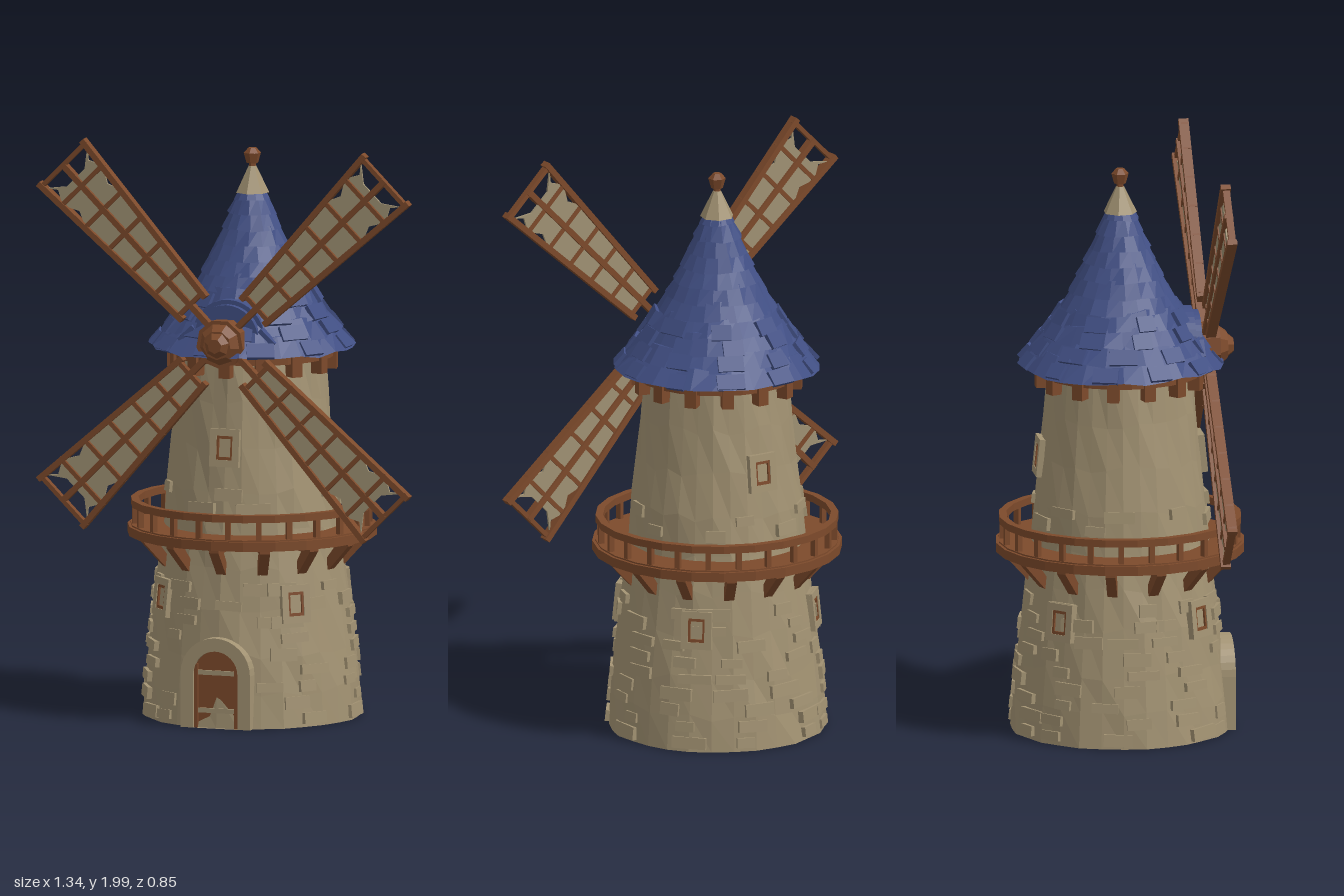
import * as THREE from 'three';
import { mergeGeometries } from 'three/addons/utils/BufferGeometryUtils.js';

const stone = new THREE.MeshStandardMaterial({ color: 0xa39373 });
stone.name = 'stone';
const wood = new THREE.MeshStandardMaterial({ color: 0x7d4a2b });
wood.name = 'wood';
const slate = new THREE.MeshStandardMaterial({ color: 0x414f84 });
slate.name = 'blue slate';
const canvas = new THREE.MeshStandardMaterial({ color: 0xa09274 });
canvas.name = 'canvas';

// Seeded random numbers
let seed = 7;
const rand = (a = 0, b = 1) => {
  seed = (seed * 16807) % 2147483647;
  return a + (b - a) * (seed / 2147483647);
};

// Merge pieces into one faceted mesh
function addMesh(parent, name, material, pieces) {
  const flat = pieces.map((g) => (g.index ? g.toNonIndexed() : g));
  const geometry = mergeGeometries(flat, false);
  geometry.clearGroups();
  geometry.computeVertexNormals();
  const mesh = new THREE.Mesh(geometry, material);
  mesh.name = name;
  parent.add(mesh);
  return mesh;
}

// Shift vertices unevenly; vertices sharing a place move together
function roughen(geometry, radial, vertical) {
  const p = geometry.attributes.position;
  const seen = new Map();
  for (let i = 0; i < p.count; i++) {
    const key = [p.getX(i), p.getY(i), p.getZ(i)].map((v) => Math.round(v * 1000)).join();
    if (!seen.has(key)) seen.set(key, [rand(-radial, radial), rand(-vertical, vertical)]);
    const [dr, dy] = seen.get(key);
    const r = Math.hypot(p.getX(i), p.getZ(i));
    const s = r > 0.02 ? 1 + dr / r : 1;
    const y = p.getY(i);
    p.setXYZ(i, p.getX(i) * s, y > 0.001 ? y + dy : y, p.getZ(i) * s);
  }
  return geometry;
}

const points = (list) => list.map(([x, y]) => new THREE.Vector2(x, y));
const box = (w, h, d, x = 0, y = 0, z = 0) => new THREE.BoxGeometry(w, h, d).translate(x, y, z);
const ring = (r0, r1, y0, y1, n) =>
  new THREE.LatheGeometry(points([[r0, y0], [r1, y0], [r1, y1], [r0, y1], [r0, y0]]), n);
const extrude = (shape, depth) =>
  new THREE.ExtrudeGeometry(shape, { depth, bevelEnabled: false, curveSegments: 8 });
const around = (n, make, offset = 0) =>
  Array.from({ length: n }, (_, i) => make(i).rotateY(((i + offset) / n) * Math.PI * 2));

// Flat beam between two points in the xy plane
function beam(x0, y0, x1, y1, w, d) {
  const dx = x1 - x0, dy = y1 - y0;
  return box(w, Math.hypot(dx, dy), d)
    .rotateZ(-Math.atan2(dx, dy))
    .translate((x0 + x1) / 2, (y0 + y1) / 2, 0);
}

const profile = [[0.372, 0], [0.362, 0.12], [0.35, 0.25], [0.333, 0.4], [0.315, 0.54], [0.302, 0.66],
  [0.29, 0.8], [0.272, 0.95], [0.257, 1.1], [0.243, 1.28]];
function towerRadius(y) {
  const i = Math.max(1, profile.findIndex((p) => p[1] >= y));
  const [r0, y0] = profile[i - 1], [r1, y1] = profile[i];
  return r0 + ((r1 - r0) * (y - y0)) / (y1 - y0);
}

function archShape(halfWidth, height) {
  const s = new THREE.Shape();
  s.moveTo(-halfWidth, 0);
  s.lineTo(halfWidth, 0);
  s.lineTo(halfWidth, height - halfWidth);
  s.absarc(0, height - halfWidth, halfWidth, 0, Math.PI, false);
  s.closePath();
  return s;
}

function addWindow(parent, angle, y) {
  const g = new THREE.Group();
  g.name = 'window';
  const frame = (w, h, t, d, z) => [
    box(t, h, d, -(w - t) / 2, 0, z), box(t, h, d, (w - t) / 2, 0, z),
    box(w, t, d, 0, (h - t) / 2, z), box(w, t, d, 0, -(h - t) / 2, z)];
  addMesh(g, 'windowSurround', stone, frame(0.105, 0.13, 0.024, 0.05, -0.008));
  addMesh(g, 'windowFrame', wood, frame(0.066, 0.086, 0.012, 0.04, -0.006));
  addMesh(g, 'windowPane', stone, [box(0.05, 0.07, 0.008, 0, 0, 0.003)]);
  const r = towerRadius(y);
  g.position.set(Math.sin(angle) * r, y, Math.cos(angle) * r);
  g.rotation.set(-0.1, angle, 0, 'YXZ');
  parent.add(g);
}

function addSail(parent, angle) {
  const g = new THREE.Group();
  g.name = 'sail';
  const half = (y) => 0.058 + ((y - 0.15) / 0.67) * 0.052;
  const bars = [0.17, 0.28, 0.39, 0.5, 0.61, 0.72, 0.815];
  const parts = [beam(0, 0.06, 0, 0.82, 0.02, 0.03)];
  for (const s of [-1, 1]) parts.push(beam(s * half(0.15), 0.15, s * half(0.83), 0.83, 0.02, 0.034));
  for (const y of bars) parts.push(box(half(y) * 2 + 0.02, 0.015, 0.024, 0, y, 0.002));
  addMesh(g, 'sailFrame', wood, parts);

  // Cloth pulled in between the cross bars and at the tip
  const edge = [];
  for (let i = 0; i < bars.length - 1; i++) {
    edge.push([half(bars[i]), bars[i]]);
    const mid = (bars[i] + bars[i + 1]) / 2;
    edge.push([half(mid) * (i > 3 ? 0.72 : 0.88), mid]);
  }
  edge.push([half(0.8) * 0.95, 0.8], [0.045, 0.755]);
  const outline = [...edge, ...edge.map(([x, y]) => [-x, y]).reverse()];
  addMesh(g, 'sailCloth', canvas, [extrude(new THREE.Shape(points(outline)), 0.008).translate(0, 0, -0.006)]);
  g.position.set(0, 1.32, 0.29);
  g.rotation.z = angle;
  parent.add(g);
}

export function createModel() {
  seed = 7;
  const model = new THREE.Group();
  model.name = 'windmill';

  // Tower wall
  const wall = new THREE.LatheGeometry(points([[0, 0], ...profile, [0, 1.28]]), 30);
  addMesh(model, 'tower', stone, [roughen(wall, 0.005, 0.015)]);

  // Stones standing proud of the wall
  const stones = [];
  for (let row = 0; row < 11; row++) {
    const count = row < 9 ? 10 : 6;
    for (let i = 0; i < count; i++) {
      const y = row < 9 ? 0.03 + row * 0.055 : 0.74 + (row - 9) * 0.05;
      const a = ((i + rand(0, 0.8)) / count) * Math.PI * 2;
      if (Math.cos(a) > 0.9 && y < 0.36) continue;
      stones.push(box(rand(0.06, 0.12), rand(0.03, 0.045), 0.03)
        .rotateZ(rand(-0.04, 0.04)).rotateX(-0.1)
        .translate(0, y, towerRadius(y) - 0.006).rotateY(a));
    }
  }
  addMesh(model, 'wallStones', stone, stones);

  // Door with stone arch
  const arch = archShape(0.125, 0.31);
  arch.holes.push(archShape(0.08, 0.265));
  addMesh(model, 'doorArch', stone, [extrude(arch, 0.1).translate(0, 0, 0.28)]);
  addMesh(model, 'door', wood, [extrude(archShape(0.082, 0.267), 0.08).translate(0, 0, 0.285),
    box(0.012, 0.22, 0.014, -0.072, 0.11, 0.366), box(0.012, 0.22, 0.014, 0.072, 0.11, 0.366)]);
  addMesh(model, 'doorBands', stone, [0.06, 0.19].map((y) => box(0.13, 0.016, 0.008, 0, y, 0.368)));

  // Windows
  for (const a of [1, 3, 5, 7]) addWindow(model, (a * Math.PI) / 4, 0.42);
  for (const a of [0, Math.PI]) addWindow(model, a, 0.95);

  // Balcony
  addMesh(model, 'balconyDeck', wood, [ring(0.27, 0.415, 0.63, 0.655, 24), ring(0.385, 0.425, 0.618, 0.65, 24)]);
  addMesh(model, 'balconyRail', wood, [ring(0.388, 0.414, 0.715, 0.74, 24)]);
  addMesh(model, 'balconyPosts', wood, around(24, () => box(0.018, 0.07, 0.018, 0, 0.685, 0.4), 0.5));
  const brace = new THREE.Shape(points([[0.28, 0.52], [0.318, 0.52], [0.395, 0.605], [0.395, 0.628], [0.28, 0.628], [0.28, 0.6], [0.34, 0.6]]));
  addMesh(model, 'balconyBraces', wood,
    around(14, () => extrude(brace, 0.034).translate(0, 0, -0.017).rotateY(-Math.PI / 2)));

  // Wooden collar under the roof
  addMesh(model, 'roofCollar', wood, [ring(0.2, 0.282, 1.235, 1.28, 24),
    ...around(14, () => box(0.04, 0.07, 0.07, 0, 1.225, 0.255))]);

  // Roof in overlapping courses of slate
  const eaves = [[0.35, 1.268], [0.305, 1.32], [0.268, 1.37], [0.234, 1.42], [0.203, 1.47], [0.175, 1.52],
    [0.15, 1.57], [0.126, 1.62], [0.104, 1.67], [0.083, 1.72], [0.062, 1.77], [0.036, 1.825]];
  const courses = [];
  for (let i = 0; i < eaves.length - 1; i++) {
    const [r0, y0] = eaves[i], [r1, y1] = eaves[i + 1];
    const h = y1 - y0 + 0.012;
    const course = new THREE.CylinderGeometry(r1 - 0.012, r0, h, Math.max(12, 30 - i * 2), 1)
      .translate(0, y0 + h / 2, 0);
    courses.push(roughen(course, i < 4 ? 0.007 : 0.004, i < 4 ? 0.008 : 0.004).rotateY(i * 0.37));
  }
  addMesh(model, 'roof', slate, courses);

  // Loose slates along the lower courses
  const slates = [];
  for (let i = 0; i < 4; i++) {
    const [r0, y0] = eaves[i], [r1, y1] = eaves[i + 1];
    const slope = Math.atan2(r0 - r1, y1 - y0);
    slates.push(...around(11 - i, () => box(rand(0.06, 0.1), 0.055, 0.014)
      .rotateX(-slope).translate(0, (y0 + y1) / 2 + rand(-0.006, 0.004), (r0 + r1) / 2 + 0.001), rand()));
  }
  addMesh(model, 'looseSlates', slate, slates);

  // Hood over the sail shaft
  const hood = (w, h, z0, z1) => extrude(archShape(w, h), z1 - z0).translate(0, 1.29, z0);
  addMesh(model, 'shaftHood', slate, [hood(0.13, 0.165, 0.08, 0.245), hood(0.115, 0.15, 0.1, 0.268),
    ...[-1, 1].map((s) => box(0.07, 0.016, 0.16).rotateZ(-s * 0.75).translate(s * 0.145, 1.335, 0.19))]);

  // Finial
  addMesh(model, 'finialCap', stone, [new THREE.CylinderGeometry(0.014, 0.058, 0.09, 7).translate(0, 1.835, 0)]);
  addMesh(model, 'finialKnob', wood, [new THREE.CylinderGeometry(0.012, 0.012, 0.05, 6).translate(0, 1.885, 0),
    new THREE.CylinderGeometry(0.03, 0.02, 0.035, 6).translate(0, 1.908, 0),
    new THREE.CylinderGeometry(0.014, 0.03, 0.018, 6).translate(0, 1.934, 0)]);

  // Hub and shaft
  const disc = (rf, rb, z0, z1, n) =>
    new THREE.CylinderGeometry(rf, rb, z1 - z0, n).rotateX(Math.PI / 2).translate(0, 1.315, (z0 + z1) / 2);
  addMesh(model, 'sailHub', wood, [disc(0.045, 0.045, 0.1, 0.3, 8), disc(0.085, 0.08, 0.268, 0.335, 9),
    disc(0.05, 0.072, 0.335, 0.365, 9), disc(0.025, 0.045, 0.365, 0.388, 7)]);

  // Sails
  for (let k = 0; k < 4; k++) addSail(model, Math.PI / 4 + (k * Math.PI) / 2);
  return model;
}
